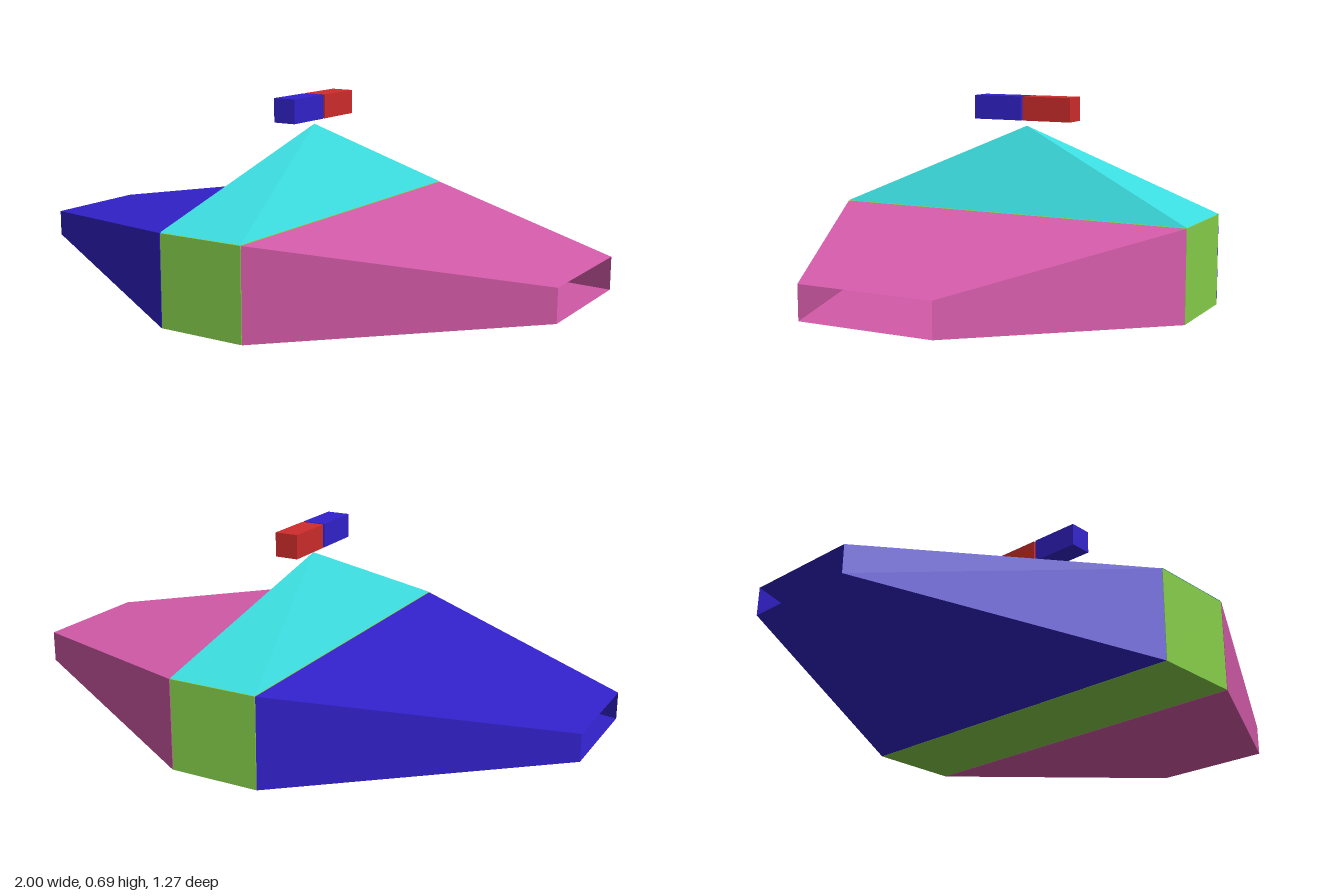
import * as THREE from 'three';

const X0 = -0.134, X1 = 0.174, MID = 0.02; // hull sides and centre line
const HULL_H = 0.305, HULL_D = 1.268;

function addPart(group, name, geometry, color) {
  const material = new THREE.MeshStandardMaterial({ color, flatShading: true, side: THREE.DoubleSide });
  const mesh = new THREE.Mesh(geometry, material);
  mesh.name = name;
  group.add(mesh);
  return mesh;
}

// Tapered wing, closed at the hull and open at the tip
function wingGeometry(side, rootX, tipHalfDepth, tipLow, tipHigh) {
  const geo = new THREE.BoxGeometry(1, 1, 1);
  const p = geo.attributes.position;
  for (let i = 0; i < p.count; i++) {
    const tip = p.getX(i) * side > 0;
    const up = p.getY(i) > 0;
    const y = tip ? (up ? tipHigh : tipLow) : (up ? HULL_H : 0);
    const z = Math.sign(p.getZ(i)) * (tip ? tipHalfDepth : HULL_D / 2);
    p.setXYZ(i, tip ? side : rootX, y, z);
  }
  // Drop the outer end face (the first box side is +x, the second -x)
  const index = Array.from(geo.index.array);
  index.splice(side > 0 ? 0 : 6, 6);
  geo.setIndex(index);
  geo.clearGroups();
  geo.computeVertexNormals();
  return geo;
}

export function createModel() {
  const model = new THREE.Group();
  model.name = 'craft';

  // Central hull
  const hull = addPart(model, 'hull', new THREE.BoxGeometry(X1 - X0, HULL_H, HULL_D), 0x86cf4a);
  hull.position.set(MID, HULL_H / 2, 0);

  // Wings
  addPart(model, 'leftWing', wingGeometry(1, X1 + 0.002, 0.222, 0.1, 0.208), 0xd65cab);
  addPart(model, 'rightWing', wingGeometry(-1, X0 - 0.002, 0.195, 0.11, 0.2), 0x3222cc);

  // Pyramid canopy
  const pyramid = new THREE.ConeGeometry(Math.SQRT1_2, 1, 4).rotateY(Math.PI / 4);
  pyramid.scale(X1 - X0, 0.279, HULL_D);
  const canopy = addPart(model, 'canopy', pyramid, 0x3cdde0);
  canopy.position.set(MID, 0.307 + 0.279 / 2, 0);

  // Two bars floating above the canopy, end to end
  for (const [name, dir, color] of [['frontBar', 1, 0x3222cc], ['rearBar', -1, 0xd02c2c]]) {
    const bar = addPart(model, name, new THREE.BoxGeometry(0.08, 0.081, 0.176), color);
    bar.position.set(MID, 0.647, dir * 0.092);
  }
  return model;
}
